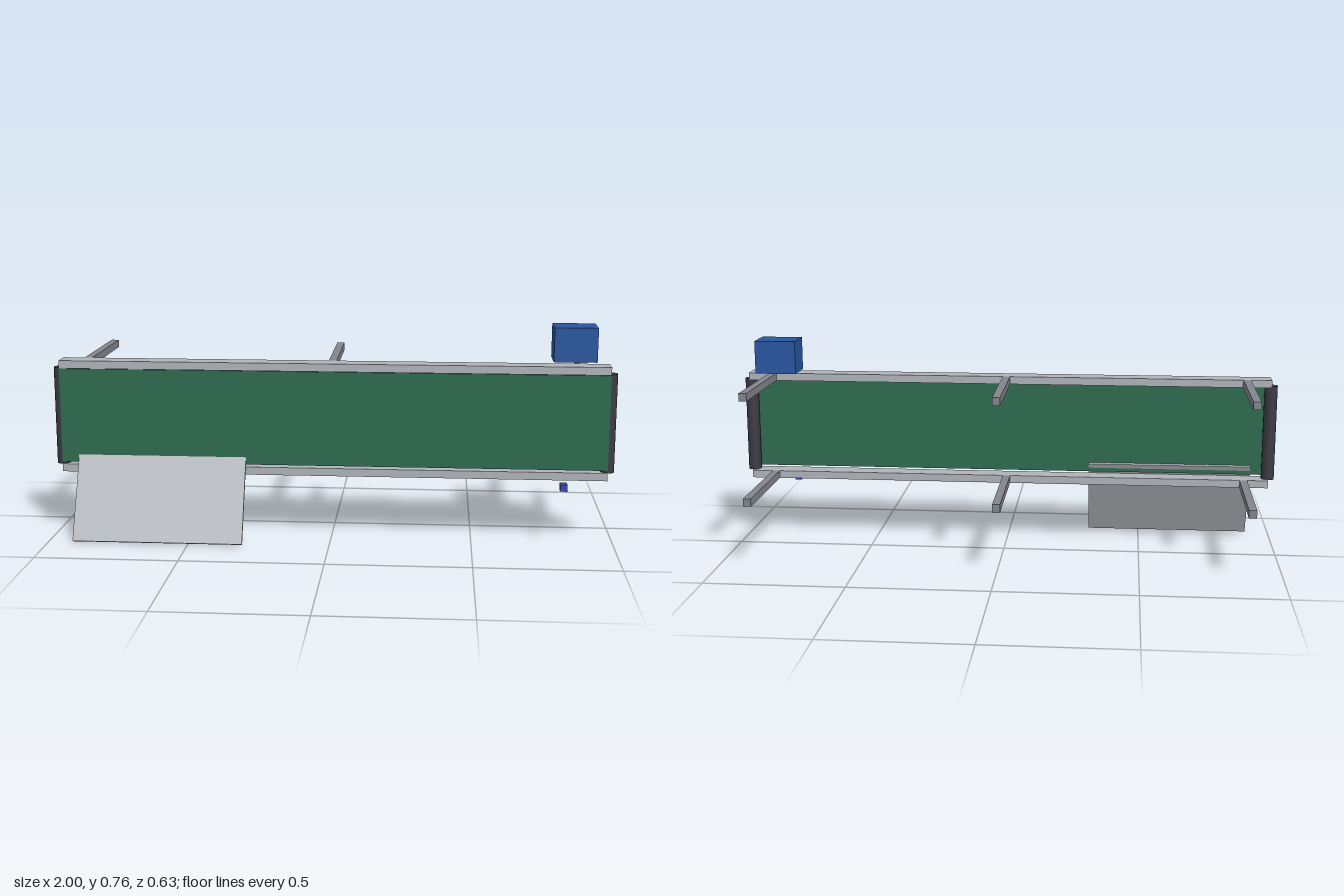
import * as THREE from 'three';

const mat = (color) => new THREE.MeshStandardMaterial({ color });

export function createModel() {
  const model = new THREE.Group();
  const railMat = mat(0xb0b4b9);
  const armMat = mat(0x82868c);
  const rollerMat = mat(0x3a3a42);

  // Box given by its extents on each axis
  function box(name, [x0, x1], [y0, y1], [z0, z1], material) {
    const mesh = new THREE.Mesh(new THREE.BoxGeometry(x1 - x0, y1 - y0, z1 - z0), material);
    mesh.position.set((x0 + x1) / 2, (y0 + y1) / 2, (z0 + z1) / 2);
    mesh.name = name;
    model.add(mesh);
    return mesh;
  }

  // Upper and lower rails, each with three support arms reaching back
  for (const [level, y] of [['lower', [0.226, 0.254]], ['upper', [0.604, 0.632]]]) {
    box(level + 'Rail', [-0.975, 0.975], y, [0.108, 0.181], railMat);
    for (const x of [-0.884, 0, 0.884]) {
      box(level + 'SupportArm', [x - 0.014, x + 0.014], y, [-0.313, 0.11], armMat);
    }
  }

  // Upright rollers at both ends
  for (const [name, x] of [['rightRoller', -0.976], ['leftRoller', 0.976]]) {
    const roller = new THREE.Mesh(new THREE.CylinderGeometry(0.024, 0.024, 0.353, 32), rollerMat);
    roller.position.set(x, 0.429, 0.151);
    roller.name = name;
    model.add(roller);
  }

  // Thin belt across the front of the rollers
  box('belt', [-0.976, 0.976], [0.262, 0.602], [0.17, 0.176], mat(0x2d6a4f));

  // Sloping chute leaning against the belt
  const chute = new THREE.Mesh(new THREE.BoxGeometry(0.607, 0.325, 0.011), railMat);
  chute.position.set(-0.6105, 0.149, 0.238);
  chute.rotation.x = -0.454;
  chute.name = 'chute';
  model.add(chute);

  // Control box above the upper rail and small sensor in front
  box('controlBox', [0.777, 0.928], [0.643, 0.764], [0.03, 0.15], mat(0x2656a0));
  box('sensor', [0.807, 0.832], [0.198, 0.222], [0.194, 0.23], mat(0x3a48b0));

  return model;
}
